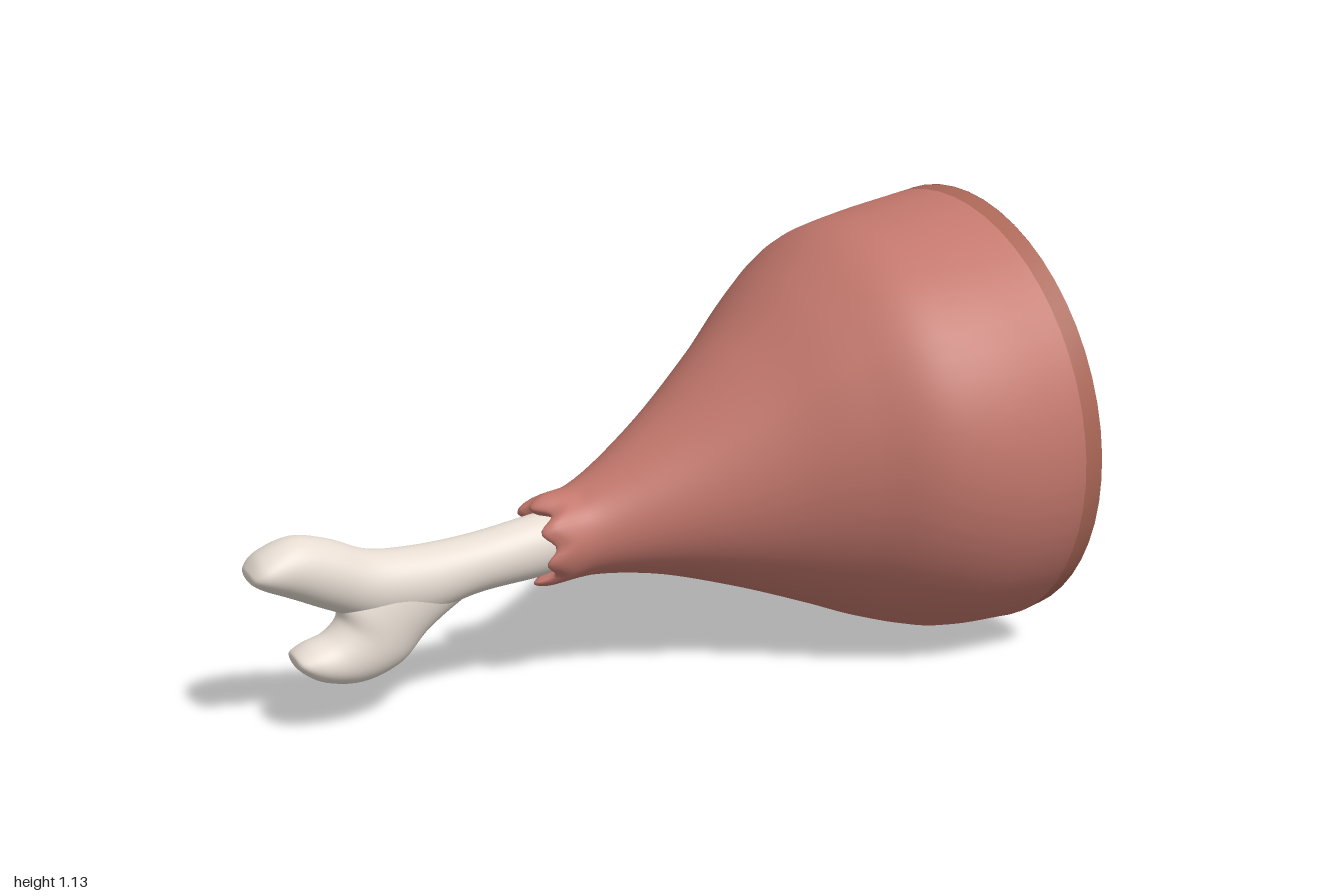
import * as THREE from 'three';

const SIDES = 56;
const mat = (color) => new THREE.MeshStandardMaterial({ color, roughness: 0.8, side: THREE.DoubleSide });
const meatMat = mat(0xc4786d);
const rindMat = mat(0xab6757);
const pinkMat = mat(0xe8ada7);
const boneMat = mat(0xe6dcd2);

// Smooth skin over oval rings [topX, topY, bottomX, bottomY, halfWidth], listed towards +x
function loft(name, rings, material, steps, ripple = () => 0) {
  const top = new THREE.CatmullRomCurve3(rings.map((r) => new THREE.Vector3(r[0], r[1], r[4])));
  const bottom = new THREE.CatmullRomCurve3(rings.map((r) => new THREE.Vector3(r[2], r[3], r[4])));
  const pos = [], index = [];
  for (let i = 0; i <= steps; i++) {
    const a = top.getPoint(i / steps), b = bottom.getPoint(i / steps);
    for (let j = 0; j < SIDES; j++) {
      const t = (j / SIDES) * Math.PI * 2, c = Math.cos(t) / 2;
      const x = (a.x + b.x) / 2 + (a.x - b.x) * c;
      pos.push(x + ripple(x, t), (a.y + b.y) / 2 + (a.y - b.y) * c, Math.sin(t) * (a.z + b.z) / 2);
      if (i < steps) {
        const p = i * SIDES + j, q = i * SIDES + (j + 1) % SIDES;
        index.push(p, q, p + SIDES, q, q + SIDES, p + SIDES);
      }
    }
  }
  const geo = new THREE.BufferGeometry();
  geo.setAttribute('position', new THREE.Float32BufferAttribute(pos, 3));
  geo.setIndex(index);
  geo.computeVertexNormals();
  const mesh = new THREE.Mesh(geo, material);
  mesh.name = name;
  return mesh;
}

export function createModel() {
  const model = new THREE.Group();
  model.name = 'hamLeg';

  // Meat, with a ragged rolled collar around the bone
  const collarRipple = (x, t) =>
    (0.016 * Math.cos(7 * t + 2.8) + 0.006 * Math.sin(4 * t)) * THREE.MathUtils.clamp((-0.17 - x) / 0.09, 0, 1);
  model.add(loft('meat', [
    [-0.22, 0.45, -0.22, 0.315, 0.065],
    [-0.27, 0.457, -0.27, 0.305, 0.078],
    [-0.287, 0.475, -0.287, 0.29, 0.094],
    [-0.26, 0.497, -0.26, 0.28, 0.108],
    [-0.18, 0.513, -0.16, 0.289, 0.116],
    [0.01, 0.636, 0.01, 0.266, 0.182],
    [0.22, 0.82, 0.22, 0.203, 0.29],
    [0.38, 0.97, 0.41, 0.133, 0.415],
    [0.515, 1.06, 0.56, 0.074, 0.515],
    [0.65, 1.097, 0.74, 0.021, 0.558],
    [0.845, 1.135, 0.945, 0.01, 0.568],
  ], meatMat, 72, collarRipple));

  // Rind band at the thick end
  model.add(loft('rind', [
    [0.845, 1.135, 0.945, 0.01, 0.568],
    [0.89, 1.143, 0.998, 0.022, 0.565],
  ], rindMat, 2));

  // Leaning cut face
  const cut = new THREE.Group();
  cut.name = 'cutFace';
  cut.position.set(0.944, 0.5825, 0);
  cut.rotation.set(0, Math.PI / 2, 0.096, 'ZYX');
  const face = new THREE.Mesh(new THREE.CircleGeometry(0.564, SIDES), meatMat);
  face.name = 'cutMeat';
  cut.add(face);

  // Pale centre with a jagged edge: curved sides rising to sharp tips
  const star = new THREE.Shape();
  const TEETH = 32;
  const polar = (r, k) => {
    const a = Math.PI / 2 + (k / TEETH) * Math.PI * 2;
    return [r * Math.cos(a), r * Math.sin(a)];
  };
  star.moveTo(...polar(0.455, 0));
  for (let k = 0; k < TEETH; k++) {
    star.quadraticCurveTo(...polar(0.425, k + 0.2), ...polar(0.408, k + 0.5));
    star.quadraticCurveTo(...polar(0.425, k + 0.8), ...polar(0.455, k + 1));
  }
  const centre = new THREE.Mesh(new THREE.ShapeGeometry(star, 4), pinkMat);
  centre.name = 'paleCentre';
  centre.position.z = 0.003;
  cut.add(centre);

  // Rounded bone end poking through the cut
  const knob = new THREE.Mesh(new THREE.SphereGeometry(1, 32, 20), boneMat);
  knob.name = 'cutBoneEnd';
  knob.scale.set(0.069, 0.076, 0.04);
  knob.position.set(0.01, -0.008, 0);
  cut.add(knob);
  model.add(cut);

  // Bone shaft running out into the upper knuckle
  model.add(loft('boneShaft', [
    [-1.0, 0.425, -1.0, 0.425, 0],
    [-0.995, 0.44, -0.993, 0.405, 0.045],
    [-0.97, 0.468, -0.97, 0.388, 0.066],
    [-0.89, 0.497, -0.9, 0.354, 0.073],
    [-0.8, 0.477, -0.81, 0.31, 0.073],
    [-0.71, 0.438, -0.71, 0.27, 0.074],
    [-0.6, 0.427, -0.58, 0.262, 0.076],
    [-0.45, 0.433, -0.45, 0.291, 0.071],
    [-0.28, 0.457, -0.28, 0.304, 0.07],
    [-0.1, 0.48, -0.1, 0.33, 0.07],
  ], boneMat, 48));

  // Lower knuckle branching off the shaft
  model.add(loft('lowerKnuckle', [
    [-0.902, 0.205, -0.902, 0.205, 0],
    [-0.897, 0.218, -0.892, 0.18, 0.045],
    [-0.87, 0.234, -0.84, 0.143, 0.066],
    [-0.82, 0.252, -0.74, 0.125, 0.074],
    [-0.79, 0.285, -0.64, 0.157, 0.077],
    [-0.79, 0.33, -0.57, 0.225, 0.077],
    [-0.72, 0.4, -0.47, 0.289, 0.068],
    [-0.6, 0.41, -0.4, 0.32, 0.05],
  ], boneMat, 40));

  return model;
}
